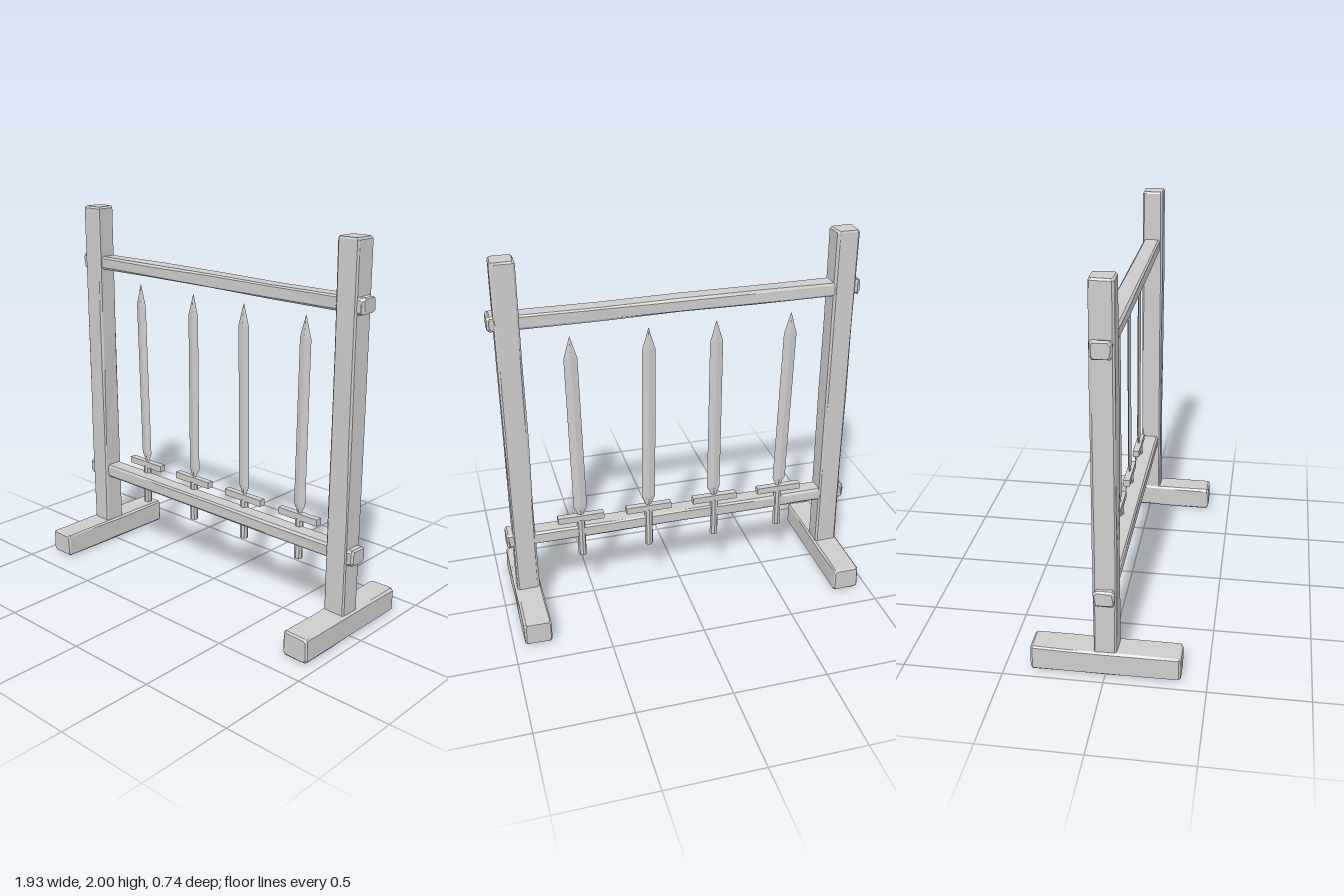
import * as THREE from 'three';

const wood = new THREE.MeshStandardMaterial({ color: 0xcccccc, flatShading: true });
wood.name = 'pale grey';

// small seeded generator for the hand-hewn wobble
let seed = 7;
const wobble = (amount) => {
  seed = (seed * 16807) % 2147483647;
  return (seed / 2147483647 - 0.5) * 2 * amount;
};

// Joins rings of equal point count into a closed solid
function loft(rings) {
  const n = rings[0].length, index = [];
  const last = (rings.length - 1) * n;
  for (let r = 0; r < rings.length - 1; r++) {
    for (let i = 0; i < n; i++) {
      const a = r * n + i, b = r * n + (i + 1) % n;
      index.push(a, b, b + n, a, b + n, a + n);
    }
  }
  for (let i = 1; i < n - 1; i++) {
    index.push(0, i + 1, i, last, last + i, last + i + 1);
  }
  const geometry = new THREE.BufferGeometry();
  geometry.setAttribute('position', new THREE.Float32BufferAttribute(rings.flat(2), 3));
  geometry.setIndex(index);
  const flat = geometry.toNonIndexed();
  flat.computeVertexNormals();
  return flat;
}

function add(parent, name, geometry, x = 0, y = 0, z = 0) {
  const mesh = new THREE.Mesh(geometry, wood);
  mesh.name = name;
  mesh.position.set(x, y, z);
  parent.add(mesh);
  return mesh;
}

// Chamfered timber between two corners, running along one axis (0 x, 1 y, 2 z)
function beam(min, max, axis, rough = 0.003, c = 0.01) {
  const u = (axis + 1) % 3, v = (axis + 2) % 3;
  const stations = [0, c, 0.28, 0.5, 0.72, -c, 0];
  const length = max[axis] - min[axis];
  const rings = stations.map((s, k) => {
    const t = k < 2 ? min[axis] + s : k > 4 ? max[axis] + s : min[axis] + s * length;
    const inset = k === 0 || k === 6 ? c * 0.7 : 0;
    const u0 = min[u] + inset, u1 = max[u] - inset, v0 = min[v] + inset, v1 = max[v] - inset;
    const corners = [[u0 + c, v0], [u1 - c, v0], [u1, v0 + c], [u1, v1 - c],
      [u1 - c, v1], [u0 + c, v1], [u0, v1 - c], [u0, v0 + c]];
    return corners.map(([a, b]) => {
      const p = [0, 0, 0];
      p[axis] = t;
      p[u] = a + wobble(rough);
      p[v] = b + wobble(rough);
      return p;
    });
  });
  return loft(rings);
}

// Sword hung point up: handle, crossguard and diamond-section blade
function makeSword(x, lowX, highX, tipX, index) {
  const sword = new THREE.Group();
  sword.name = 'sword' + index;
  sword.position.set(x, 0, -0.041);
  add(sword, 'handle', new THREE.CylinderGeometry(0.022, 0.022, 0.225, 8), 0, 0.41, 0);
  add(sword, 'crossguard', new THREE.BoxGeometry(0.25, 0.036, 0.036), 0, 0.533, 0);
  // y, centre x, half width, half thickness
  const sections = [[0.54, 0, 0.008, 0.004], [0.6, lowX, 0.036, 0.01],
    [1.47, highX, 0.035, 0.009], [1.587, tipX, 0.001, 0.001]];
  add(sword, 'blade', loft(sections.map(([y, cx, w, d]) =>
    [[cx, y, d], [cx + w, y, 0], [cx, y, -d], [cx - w, y, 0]])));
  return sword;
}

export function createModel() {
  seed = 7;
  const rack = new THREE.Group();
  rack.name = 'swordRack';

  // feet and uprights
  for (const side of [-1, 1]) {
    const x = side < 0 ? -0.875 : 0.869, label = side < 0 ? 'right' : 'left';
    add(rack, label + 'Foot', beam([x - 0.071, 0.003, -0.37], [x + 0.071, 0.132, 0.37], 2));
    add(rack, label + 'Post', beam([x - 0.06, 0.12, -0.057], [x + 0.06, 2, 0.059], 1));
  }

  // rails, with tenon ends showing outside the posts
  for (const [name, y] of [['lowerRail', 0.445], ['upperRail', 1.69]]) {
    add(rack, name, beam([-0.93, y - 0.036, -0.051], [0.93, y + 0.036, 0.044], 0));
    for (const side of [-1, 1]) {
      const from = side < 0 ? -0.963 : 0.9;
      add(rack, name + 'Tenon', beam([from, y - 0.039, -0.049], [from + 0.063, y + 0.041, 0.05], 0, 0.004));
    }
  }

  // four swords, each leaning slightly differently
  [[-0.565, -0.003, -0.025, -0.025], [-0.19, 0.006, 0.002, 0.004],
    [0.185, -0.002, -0.015, -0.015], [0.56, 0, 0.01, 0.01]]
    .forEach((s, i) => rack.add(makeSword(...s, i + 1)));

  return rack;
}
